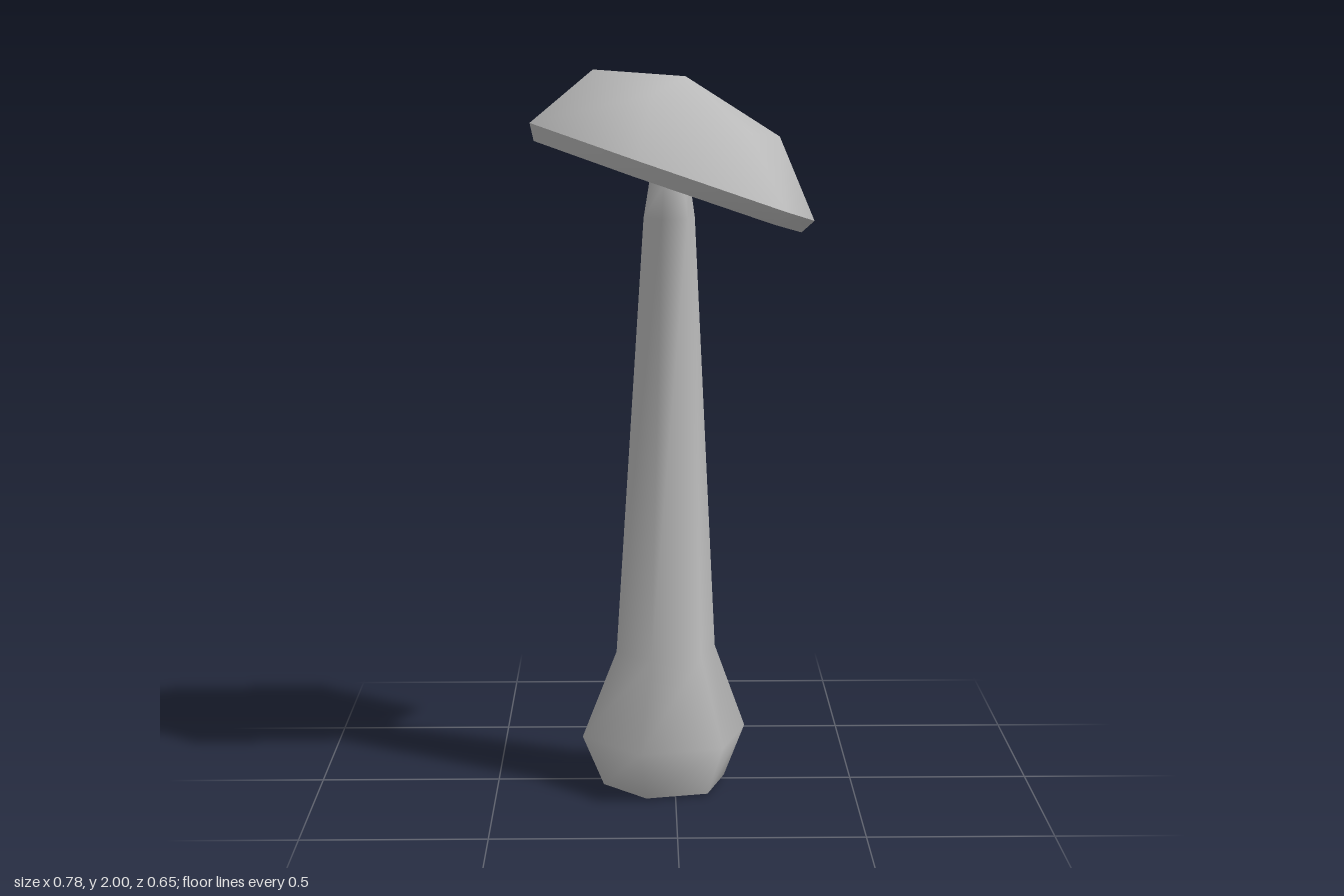
import * as THREE from 'three';
import { mergeVertices } from 'three/addons/utils/BufferGeometryUtils.js';

const SIDES = 6;

// Skin a list of six-point rings, ordered from bottom to top, with smooth normals
function loft(rings) {
  const index = [];
  for (let r = 0; r < rings.length - 1; r++) {
    for (let i = 0; i < SIDES; i++) {
      const j = (i + 1) % SIDES;
      const a = r * SIDES + i, b = r * SIDES + j;
      const c = a + SIDES, d = b + SIDES;
      index.push(a, c, b, b, c, d);
    }
  }
  const geo = new THREE.BufferGeometry();
  geo.setAttribute('position', new THREE.Float32BufferAttribute(rings.flat(2), 3));
  geo.setIndex(index);
  const merged = mergeVertices(geo, 1e-4);
  merged.computeVertexNormals();
  return merged;
}

// A ring that closes to a single point
const pole = (x, y, z) => Array.from({ length: SIDES }, () => [x, y, z]);

// A regular level hexagon
function hexRing(x, y, z, radius) {
  return Array.from({ length: SIDES }, (_, i) => {
    const t = THREE.MathUtils.degToRad(-13 + i * 60);
    return [x + radius * Math.cos(t), y, z + radius * Math.sin(t)];
  });
}

// The tilted rim of the cap, scaled about its centre and shifted
const RIM = [[0.39, -0.09], [0.29, 0.235], [-0.1, 0.325], [-0.39, 0.09], [-0.29, -0.235], [0.1, -0.325]];
const rimRing = (scale, dx, dy) => RIM.map(([x, z]) => [
  x * scale + dx, 1.72 - 0.345 * x * scale + 0.05 * z * scale + dy, z * scale,
]);

export function createModel() {
  const grey = new THREE.MeshStandardMaterial({ color: 0xbcbcbc });
  grey.name = 'grey';

  const group = new THREE.Group();
  group.name = 'mushroom';
  const add = (name, geometry) => {
    const mesh = new THREE.Mesh(geometry, grey);
    mesh.name = name;
    group.add(mesh);
  };

  // Stem with a swollen foot, tapering up into the cap
  const foot = hexRing(-0.03, 0.005, 0.025, 0.175);
  add('stem', loft([
    foot,
    hexRing(-0.03, 0.15, 0.028, 0.235),
    hexRing(-0.025, 0.39, 0.028, 0.142),
    hexRing(-0.015, 1.6, 0.02, 0.072),
    hexRing(-0.014, 1.69, 0.018, 0.058),
    hexRing(-0.012, 1.78, 0.015, 0.05),
  ]));
  add('stemBase', loft([pole(-0.03, 0, 0.025), foot]));

  // Domed top of the cap: rim, uneven shoulder and crown
  const rim = rimRing(1, 0, 0);
  const shoulder = [
    [0.29, 1.815, -0.06], [0.2, 1.835, 0.17], [-0.06, 1.94, 0.24],
    [-0.22, 2, 0.07], [-0.17, 1.97, -0.14], [0.09, 1.83, -0.22],
  ];
  add('capTop', loft([rim, shoulder, pole(0.03, 1.98, -0.02)]));

  // Narrow edge and hollow underside of the cap
  const lip = rimRing(0.94, -0.013, -0.04);
  add('capEdge', loft([lip, rim]));
  add('capUnderside', loft([pole(0, 1.75, 0), lip]));

  return group;
}
